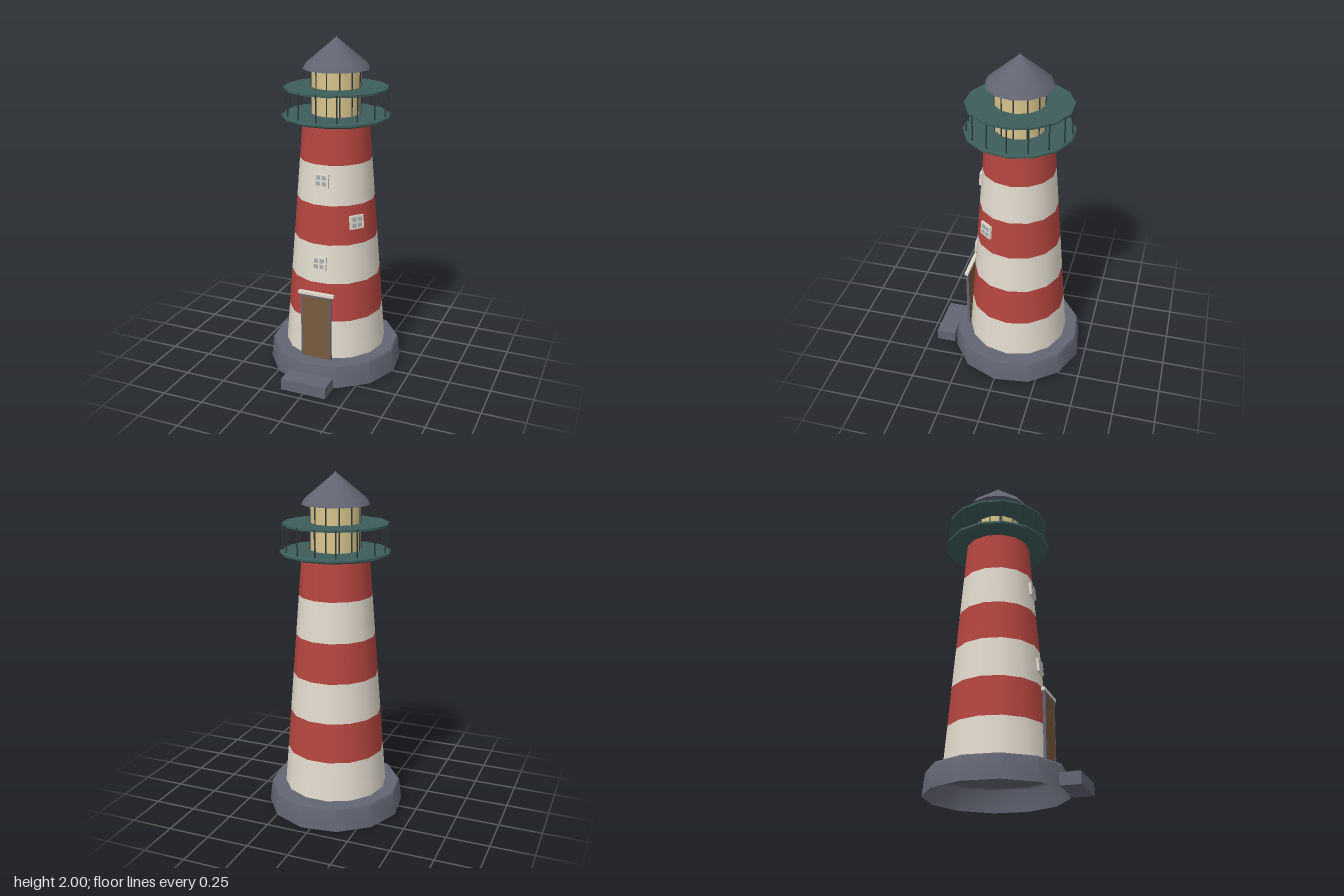
import * as THREE from 'three';
import { toCreasedNormals } from 'three/addons/utils/BufferGeometryUtils.js';

const AXIS_Z = -0.055; // tower axis, set back to leave room for the step
const SIDES = 14;
const HALF = Math.PI / SIDES;

export function createModel() {
  const mat = (name, color, side = THREE.FrontSide) => {
    const m = new THREE.MeshStandardMaterial({ color, side });
    m.name = name;
    return m;
  };
  const white = mat('white', 0xe2dbce);
  const red = mat('red', 0xb64640);
  const stone = mat('slate grey', 0x636573, THREE.DoubleSide);
  const green = mat('dark green', 0x3d5e5b);
  const wood = mat('door brown', 0x785a3e);
  const glow = mat('lamp yellow', 0xd9c58c);
  const iron = mat('dark iron', 0x2e3a3b);
  const pane = mat('pane grey', 0xa4abb0);

  const root = new THREE.Group();
  root.name = 'lighthouse';
  const tower = new THREE.Group();
  tower.name = 'tower';
  tower.position.z = AXIS_Z;
  root.add(tower);

  const add = (parent, name, geometry, material, x = 0, y = 0, z = 0) => {
    const mesh = new THREE.Mesh(geometry, material);
    mesh.name = name;
    mesh.position.set(x, y, z);
    parent.add(mesh);
    return mesh;
  };
  const box = (parent, name, w, h, d, material, x, y, z) =>
    add(parent, name, new THREE.BoxGeometry(w, h, d), material, x, y, z);
  const lathe = (name, profile, sides, material, turn = 0) => {
    const points = profile.map(([r, y]) => new THREE.Vector2(r, y));
    const geometry = toCreasedNormals(new THREE.LatheGeometry(points, sides), 0.6);
    const mesh = add(tower, name, geometry, material);
    mesh.rotation.y = turn;
    return mesh;
  };

  // Hollow foundation, open underneath, and the entrance step
  lathe('foundation', [[0.404, 0], [0.39, 0.13], [0.383, 0.14], [0, 0.14]], 12, stone, 0.39);
  box(root, 'step', 0.28, 0.07, 0.117, stone, 0, 0.035, 0.394);

  // Tapered striped wall
  const BOTTOM = 0.14, TOP = 1.535, BANDS = 6;
  const radiusAt = (y) => 0.304 - 0.111 * (y - BOTTOM) / (TOP - BOTTOM);
  const bandHeight = (TOP - BOTTOM) / BANDS;
  for (let i = 0; i < BANDS; i++) {
    const y0 = BOTTOM + i * bandHeight;
    const y1 = y0 + bandHeight;
    const geometry = new THREE.CylinderGeometry(radiusAt(y1), radiusAt(y0), bandHeight, SIDES, 1, true);
    const band = add(tower, 'wallBand' + (i + 1), geometry, i % 2 ? red : white, 0, (y0 + y1) / 2, 0);
    band.rotation.y = HALF;
  }

  // Windows: frame plate with four small panes, lying on a wall facet
  const addWindow = (y, angle) => {
    const holder = new THREE.Group();
    holder.name = 'window';
    holder.rotation.y = angle;
    const frame = new THREE.Group();
    frame.name = 'windowFrame';
    frame.position.set(0, y, radiusAt(y) * Math.cos(HALF) + 0.004);
    frame.rotation.x = -0.08;
    box(frame, 'framePlate', 0.088, 0.08, 0.02, white, 0, 0, 0);
    for (const sx of [-1, 1]) for (const sy of [-1, 1]) {
      box(frame, 'windowPane', 0.026, 0.024, 0.004, pane, sx * 0.018, sy * 0.017, 0.01);
    }
    holder.add(frame);
    tower.add(holder);
  };
  addWindow(0.725, 0);
  addWindow(1.215, 0);
  addWindow(0.97, HALF * 4);

  // Upright door with a thin frame and a pale lintel
  box(root, 'door', 0.172, 0.39, 0.014, wood, 0, 0.335, 0.25);
  for (const s of [-1, 1]) {
    box(root, 'doorJamb', 0.009, 0.4, 0.016, stone, s * 0.09, 0.34, 0.25);
  }
  box(root, 'doorHead', 0.189, 0.012, 0.016, stone, 0, 0.536, 0.25);
  box(root, 'lintel', 0.22, 0.018, 0.022, white, 0, 0.551, 0.25);

  // Gallery floor and the flat rail disc above it
  lathe('galleryFloor',
    [[0, 1.535], [0.304, 1.535], [0.315, 1.543], [0.315, 1.554], [0.308, 1.561], [0, 1.561]],
    SIDES, green, HALF);
  lathe('railDisc', [[0, 1.702], [0.302, 1.702], [0.302, 1.714], [0, 1.714]], SIDES, green, HALF);

  // Rail posts and lantern bars
  const ring = (name, count, radius, thickness, y0, y1) => {
    const geometry = new THREE.CylinderGeometry(thickness, thickness, y1 - y0, 6);
    for (let i = 0; i < count; i++) {
      const a = (i / count) * Math.PI * 2;
      add(tower, name, geometry, iron, Math.sin(a) * radius, (y0 + y1) / 2, Math.cos(a) * radius);
    }
  };
  ring('railPost', 16, 0.295, 0.004, 1.555, 1.715);
  ring('lanternBar', 12, 0.143, 0.004, 1.56, 1.816);

  // Glowing lantern room
  add(tower, 'lantern', new THREE.CylinderGeometry(0.143, 0.143, 0.256, 12), glow, 0, 1.688, 0);

  // Pointed roof with a tiny tip
  lathe('roof',
    [[0, 1.815], [0.193, 1.815], [0.174, 1.849], [0.004, 1.988], [0, 2]],
    12, stone);

  return root;
}
